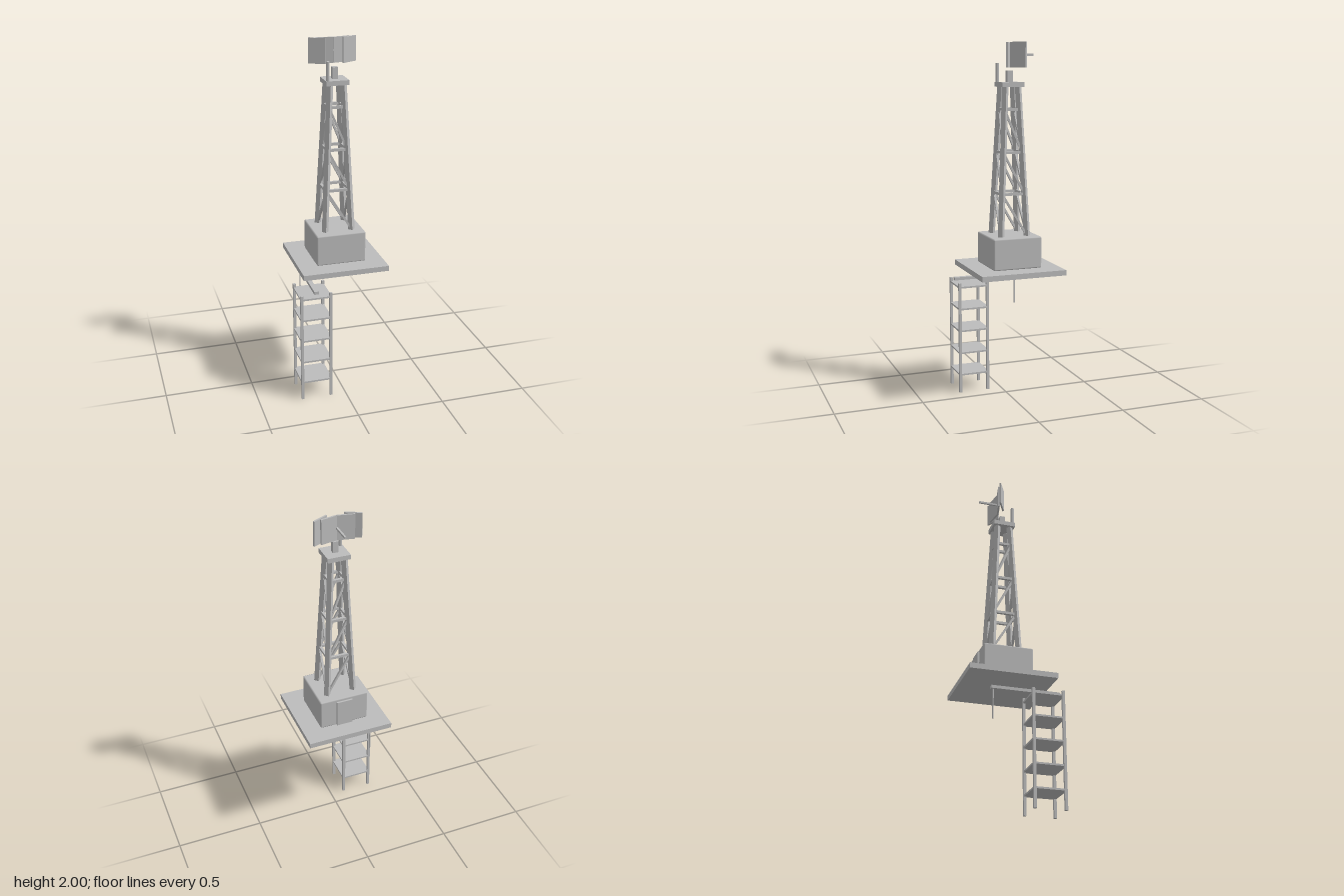
import * as THREE from 'three';
import { RoundedBoxGeometry } from 'three/addons/geometries/RoundedBoxGeometry.js';

export function createModel() {
  const model = new THREE.Group();
  model.name = 'radioTower';
  const grey = new THREE.MeshStandardMaterial({ color: 0xbcbcbc });
  grey.name = 'plain grey';

  const CX = 0.0115, CZ = -0.0145; // tower axis

  const add = (name, geometry, x, y, z, parent = model) => {
    const mesh = new THREE.Mesh(geometry, grey);
    mesh.name = name;
    mesh.position.set(x, y, z);
    parent.add(mesh);
    return mesh;
  };
  // Box given by its lower and upper limits
  const span = (name, x0, x1, y0, y1, z0, z1, parent) =>
    add(name, new THREE.BoxGeometry(x1 - x0, y1 - y0, z1 - z0),
      (x0 + x1) / 2, (y0 + y1) / 2, (z0 + z1) / 2, parent);
  // Square bar between two points
  const bar = (name, a, b, size, parent) => {
    const mid = a.clone().add(b).multiplyScalar(0.5);
    const mesh = add(name, new THREE.BoxGeometry(size, size, a.distanceTo(b)), mid.x, mid.y, mid.z, parent);
    mesh.lookAt(b);
    return mesh;
  };
  const group = (name) => {
    const g = new THREE.Group();
    g.name = name;
    model.add(g);
    return g;
  };

  // Platform and cabin with a door at the back
  add('platform', new THREE.BoxGeometry(0.491, 0.03, 0.491), CX, 0.743, CZ);
  add('cabin', new RoundedBoxGeometry(0.283, 0.177, 0.283, 1, 0.008), CX, 0.8465, CZ);
  span('cabinDoor', -0.035, 0.058, 0.76, 0.918, -0.166, -0.154);

  // Lattice tower: tapering legs, ring bars and one diagonal per panel
  const tower = group('latticeTower');
  const corner = (sx, sz, y) => {
    const h = 0.0768 - (y - 0.935) * 0.0476;
    return new THREE.Vector3(CX + sx * h, y, CZ + sz * h);
  };
  for (const sx of [-1, 1]) {
    for (const sz of [-1, 1]) bar('towerLeg', corner(sx, sz, 0.925), corner(sx, sz, 1.765), 0.027, tower);
  }
  const levels = [0.935, 1.17, 1.4, 1.635];
  levels.forEach((y, i) => {
    if (i === 0) return;
    for (const s of [-1, 1]) {
      bar('ringBar', corner(-1, s, y), corner(1, s, y), 0.015, tower);
      bar('ringBar', corner(s, -1, y), corner(s, 1, y), 0.015, tower);
      bar('diagonalBrace', corner(1, s, levels[i - 1]), corner(-1, s, y), 0.012, tower);
      bar('diagonalBrace', corner(s, -1, levels[i - 1]), corner(s, 1, y), 0.012, tower);
    }
  });

  // Tower top
  add('topPlate', new THREE.BoxGeometry(0.128, 0.026, 0.128), CX, 1.77, CZ);
  add('antennaPedestal', new THREE.BoxGeometry(0.031, 0.064, 0.031), CX, 1.814, CZ);
  const whip = add('whipAntenna', new THREE.CylinderGeometry(0.01, 0.01, 0.105, 6), -0.04, 1.834, 0.036);
  whip.rotation.y = Math.PI / 6;

  // Floating antenna: four angled panels and a rear arm
  const antenna = group('panelAntenna');
  for (const s of [-1, 1]) {
    const panel = new THREE.BoxGeometry(0.094, 0.138, 0.01);
    add('innerPanel', panel, CX + s * 0.0465, 1.931, -0.05, antenna).rotation.y = s * 0.2;
    add('outerPanel', panel, CX + s * 0.0895, 1.931, -0.041, antenna).rotation.y = s * 0.48;
  }
  span('rearArm', 0.007, 0.017, 1.925, 1.936, -0.156, -0.04, antenna);

  // Shelf rack
  const rack = group('shelfRack');
  const RX = -0.1695, RZ = 0.1655;
  for (const sx of [-1, 1]) {
    for (const sz of [-1, 1]) {
      add('rackPost', new THREE.BoxGeometry(0.015, 0.648, 0.015), RX + sx * 0.083, 0.324, RZ + sz * 0.083, rack);
    }
  }
  for (const y of [0.106, 0.235, 0.366, 0.495, 0.623]) {
    add('rackShelf', new THREE.BoxGeometry(0.177, 0.01, 0.177), RX, y, RZ, rack);
  }

  // Hoist beam over the rack with its hanging rod
  span('hoistBeam', -0.182, -0.157, 0.65, 0.667, -0.128, 0.256);
  add('hoistRod', new THREE.CylinderGeometry(0.004, 0.004, 0.17, 6), -0.1695, 0.568, -0.115);

  return model;
}
